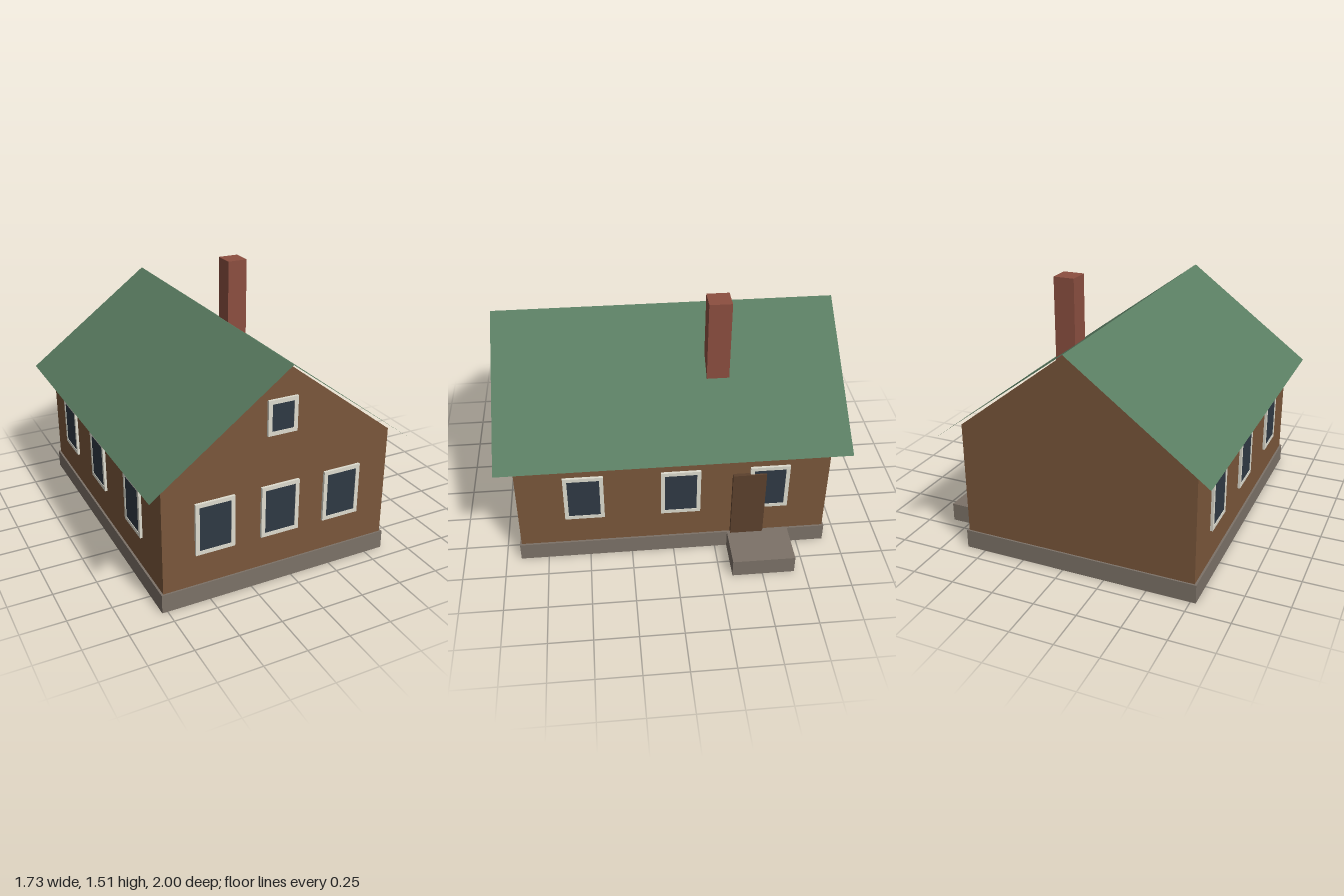
import * as THREE from 'three';

const CX = -0.083;       // ridge line of the house
const WALL_X = 0.686;    // half width of the walls
const WALL_Z = 0.904;    // half length of the walls
const BASE_Y = 0.11;     // top of the plinth

const paint = (color) => new THREE.MeshStandardMaterial({ color, flatShading: true });
const wallPaint = paint(0x7a573b);
const roofPaint = paint(0x5a7d62);
roofPaint.side = THREE.DoubleSide;
const stonePaint = paint(0x7c7268);
const framePaint = paint(0xdedccf);
const glassPaint = paint(0x2f3944);
const doorPaint = paint(0x5c412d);
const brickPaint = paint(0x8c4f40);

function add(parent, name, geometry, material) {
  const mesh = new THREE.Mesh(geometry, material);
  mesh.name = name;
  parent.add(mesh);
  return mesh;
}

// Box given by its lower and upper limits on each axis
function block(parent, name, [x0, x1], [y0, y1], [z0, z1], material) {
  const mesh = add(parent, name, new THREE.BoxGeometry(x1 - x0, y1 - y0, z1 - z0), material);
  mesh.position.set((x0 + x1) / 2, (y0 + y1) / 2, (z0 + z1) / 2);
  return mesh;
}

function rectangle(PathType, w, h) {
  return new PathType([[-1, -1], [1, -1], [1, 1], [-1, 1]].map(
    ([x, y]) => new THREE.Vector2(x * w / 2, y * h / 2)));
}

// Window facing +z: a projecting frame around a pane
function makeWindow(name, w, h) {
  const group = new THREE.Group();
  group.name = name;
  const border = 0.023;
  const ring = rectangle(THREE.Shape, w, h);
  ring.holes.push(rectangle(THREE.Path, w - 2 * border, h - 2 * border));
  add(group, 'windowFrame', new THREE.ExtrudeGeometry(ring, { depth: 0.015, bevelEnabled: false }), framePaint);
  const pane = add(group, 'windowPane', new THREE.BoxGeometry(w - 2 * border, h - 2 * border, 0.01), glassPaint);
  pane.position.z = 0.007;
  return group;
}

export function createModel() {
  const house = new THREE.Group();
  house.name = 'house';

  // Plinth and doorstep
  block(house, 'plinth', [CX - 0.698, CX + 0.698], [0, BASE_Y], [-0.914, 0.914], stonePaint);
  block(house, 'doorstep', [CX + 0.698, 0.862], [0, BASE_Y], [-0.688, -0.322], stonePaint);

  // Walls with both gables
  const gable = new THREE.Shape([
    [-WALL_X, BASE_Y], [WALL_X, BASE_Y], [WALL_X, 0.777], [0, 1.3], [-WALL_X, 0.777],
  ].map(([x, y]) => new THREE.Vector2(x, y)));
  const walls = add(house, 'walls',
    new THREE.ExtrudeGeometry(gable, { depth: 2 * WALL_Z, bevelEnabled: false }), wallPaint);
  walls.position.set(CX, 0, -WALL_Z);

  // Thin roof slopes overhanging on all sides
  const run = 0.784, ridge = 1.31, eave = 0.728;
  for (const side of [-1, 1]) {
    const slope = new THREE.PlaneGeometry(Math.hypot(run, ridge - eave), 2);
    slope.rotateX(-Math.PI / 2);
    slope.rotateZ(-side * Math.atan2(ridge - eave, run));
    add(house, side > 0 ? 'leftRoof' : 'rightRoof', slope, roofPaint)
      .position.set(CX + side * run / 2, (ridge + eave) / 2, 0);
  }

  // Chimney
  block(house, 'chimney', [0.176, 0.302], [0.9, 1.506], [-0.344, -0.215], brickPaint);

  // Front windows
  for (const x of [-0.387, 0, 0.387]) {
    const win = makeWindow('frontWindow', 0.229, 0.305);
    win.position.set(CX + x, 0.453, WALL_Z);
    house.add(win);
  }
  const attic = makeWindow('atticWindow', 0.175, 0.2);
  attic.position.set(CX, 1.0, WALL_Z);
  house.add(attic);

  // Side windows
  for (const side of [-1, 1]) {
    for (const z of [0.519, -0.04, -0.556]) {
      const win = makeWindow(side > 0 ? 'leftWindow' : 'rightWindow', 0.23, 0.305);
      win.position.set(CX + side * WALL_X, 0.453, z);
      win.rotation.y = side * Math.PI / 2;
      house.add(win);
    }
  }

  // Door
  block(house, 'door', [0.59, 0.625], [BASE_Y, 0.56], [-0.535, -0.34], doorPaint);

  return house;
}
